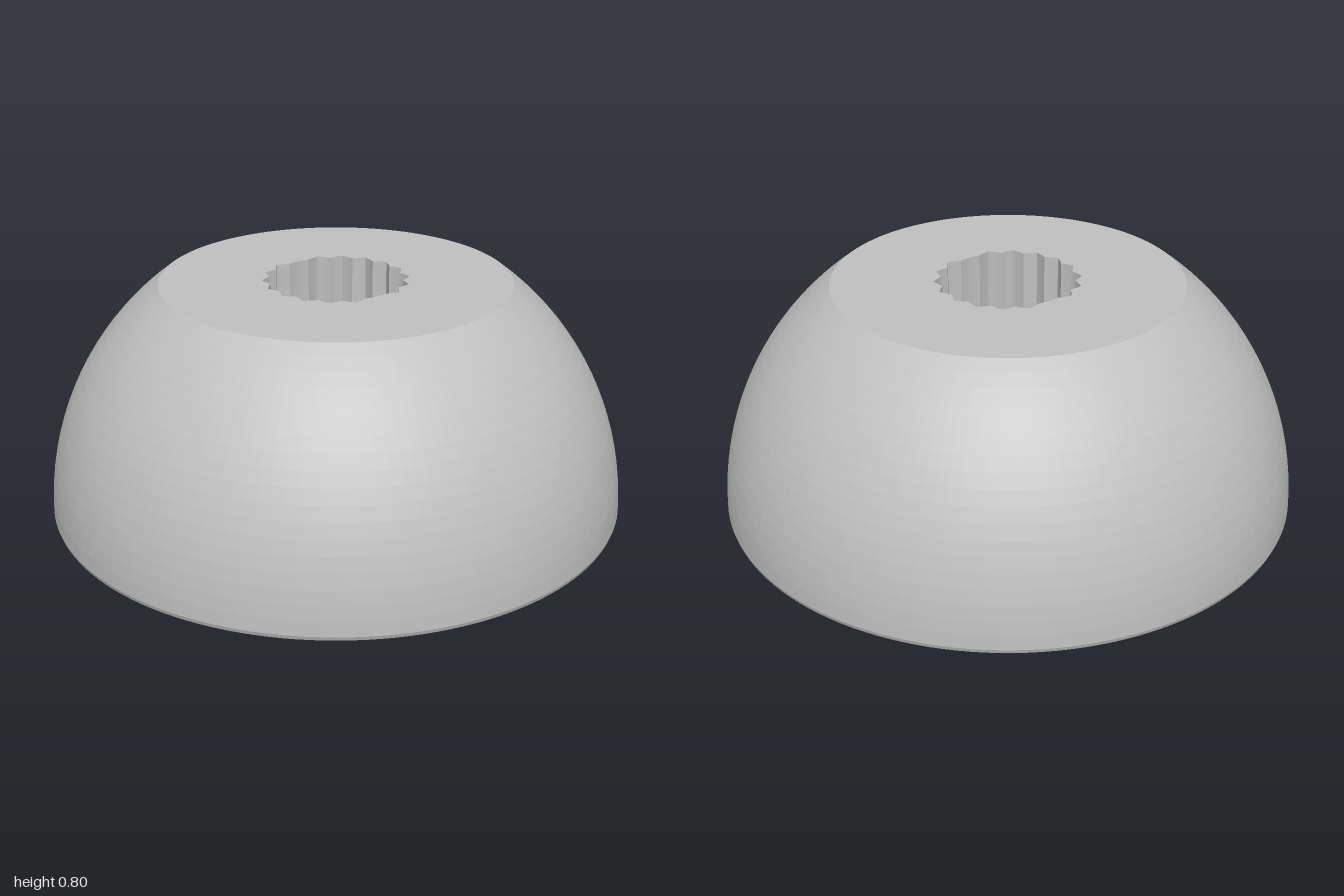
import * as THREE from 'three';

const SEGMENTS = 144;
const TOP = 0.8;
const VALLEY = 0.227, TIP = 0.251;      // bore radii between and at the teeth
const MOUTH = 0.655, SLOPE = 0.69;      // conical recess

// Splined outline: 18 tooth positions, the front and back teeth left out
function boreRadius(deg) {
  const blank = Math.abs((deg % 180) - 90) < 10;
  const t = 1 - Math.abs((deg % 20) - 10) / 10;
  return blank ? VALLEY : VALLEY + (TIP - VALLEY) * t;
}

const circle = (r, y) => () => [r, y];
const boreTop = (deg) => [boreRadius(deg), TOP];
const boreBottom = (deg) => [boreRadius(deg), (MOUTH - boreRadius(deg)) * SLOPE];

// Faceted skin through a row of rings; each ring maps an angle to [radius, height]
function loft(name, rings, material) {
  const point = (ring, j) => {
    const deg = ((j % SEGMENTS) * 360) / SEGMENTS;
    const a = THREE.MathUtils.degToRad(deg);
    const [r, y] = ring(deg);
    return [r * Math.cos(a), y, r * Math.sin(a)];
  };
  const positions = [];
  for (let i = 0; i < rings.length - 1; i++) {
    for (let j = 0; j < SEGMENTS; j++) {
      const a = point(rings[i], j), b = point(rings[i], j + 1);
      const c = point(rings[i + 1], j), d = point(rings[i + 1], j + 1);
      positions.push(...a, ...b, ...c, ...b, ...d, ...c);
    }
  }
  const geometry = new THREE.BufferGeometry();
  geometry.setAttribute('position', new THREE.Float32BufferAttribute(positions, 3));
  geometry.computeVertexNormals();
  const mesh = new THREE.Mesh(geometry, material);
  mesh.name = name;
  return mesh;
}

export function createModel() {
  const grey = new THREE.MeshStandardMaterial({ color: 0xc0c0c0 });
  grey.name = 'grey';

  // Spherical side, cut flat at the top and softened at the bottom rim
  const dome = [];
  const start = Math.asin(TOP), end = 0.02, steps = 18;
  for (let i = 0; i <= steps; i++) {
    const a = THREE.MathUtils.lerp(start, end, i / steps);
    dome.push(circle(Math.cos(a), Math.sin(a)));
  }
  dome.push(circle(0.995, 0.006), circle(0.982, 0));

  const group = new THREE.Group();
  group.name = 'splinedKnob';
  group.add(
    loft('topFace', [boreTop, circle(0.6, TOP)], grey),
    loft('dome', dome, grey),
    loft('underside', [circle(0.982, 0), circle(MOUTH, 0)], grey),
    loft('conicalRecess', [circle(MOUTH, 0), boreBottom], grey),
    loft('splinedBore', [boreBottom, boreTop], grey),
  );
  return group;
}
